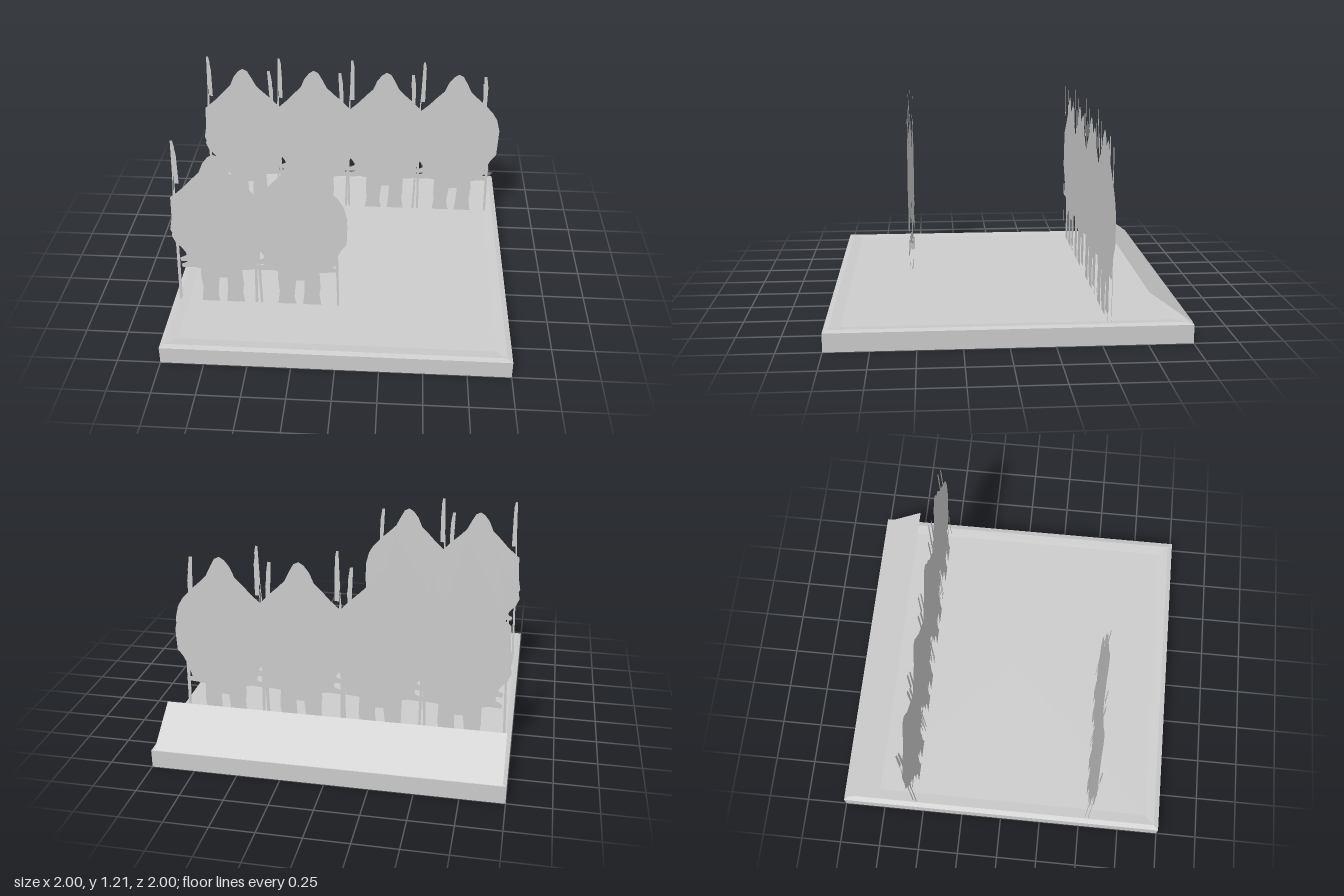
import * as THREE from 'three';

const grey = new THREE.MeshStandardMaterial({ color: 0xcccccc });
grey.name = 'plain grey';
const greySheet = grey.clone(); // same grey for open, paper-thin sheets
greySheet.name = 'plain grey';
greySheet.side = THREE.DoubleSide;

const TOP = 0.108;

function shapeOf(points) {
  return new THREE.Shape(points.map(([x, y]) => new THREE.Vector2(x, y)));
}

function sheet(name, points) {
  const mesh = new THREE.Mesh(new THREE.ShapeGeometry(shapeOf(points)), greySheet);
  mesh.name = name;
  return mesh;
}

// Outline of one standing figure, clockwise from the left shoulder valley
const BODY = [
  [-0.235, 0.86], [-0.18, 0.91], [-0.13, 0.965], [-0.085, 1.01], [-0.06, 1.07], [-0.03, 1.11],
  [0, 1.13], [0.03, 1.115], [0.055, 1.07], [0.085, 1.01], [0.13, 0.965], [0.18, 0.92],
  [0.235, 0.86], [0.265, 0.81], [0.285, 0.73], [0.28, 0.6], [0.25, 0.56], [0.235, 0.53],
  [0.21, 0.47], [0.2, 0.43], [0.235, 0.42], [0.23, 0.4], [0.17, 0.395], [0.12, 0.39],
  [0.125, 0.28], [0.115, 0.22], [0.13, TOP],
  [0.02, TOP], [0.03, 0.2], [0.035, 0.33], [-0.02, 0.33], [-0.03, 0.24], [-0.035, 0.18], [-0.02, TOP],
  [-0.13, TOP], [-0.115, 0.22], [-0.125, 0.28], [-0.12, 0.39], [-0.16, 0.4],
  [-0.235, 0.395], [-0.24, 0.42], [-0.2, 0.44], [-0.205, 0.5], [-0.23, 0.54],
  [-0.26, 0.57], [-0.28, 0.62], [-0.265, 0.7], [-0.26, 0.84],
];
// Long staff, broad at its tip
const STAFF = [
  [-0.268, TOP], [-0.256, TOP], [-0.232, 0.98], [-0.208, 0.98],
  [-0.208, 1.17], [-0.215, 1.21], [-0.228, 1.21], [-0.236, 0.97], [-0.245, 0.85],
];
const SHORT_TIP = [[0.17, 0.9], [0.19, 0.9], [0.19, 1.04], [0.178, 1.12], [0.16, 1.12]];
const REAR_STAFF = [[0.225, TOP], [0.237, TOP], [0.23, 0.56], [0.215, 0.56]];

function figure(x) {
  const group = new THREE.Group();
  group.name = 'figure';
  group.add(
    sheet('figureBody', BODY),
    sheet('longStaff', STAFF),
    sheet('staffTip', SHORT_TIP),
    sheet('lowerStaff', REAR_STAFF),
  );
  group.position.x = x;
  return group;
}

// A row is two parallel sheets, the rear one set a little lower
function row(name, centres, z) {
  const group = new THREE.Group();
  group.name = name;
  for (const [dy, dz] of [[0, 0], [-0.06, -0.02]]) {
    const layer = new THREE.Group();
    layer.name = dy ? 'rearSheet' : 'frontSheet';
    layer.position.set(0, dy, dz);
    for (const x of centres) layer.add(figure(x));
    group.add(layer);
  }
  group.position.z = z;
  return group;
}

// Square tray with a softly raised rim, turned with four sides
function base() {
  const profile = [[0, 0], [1, 0], [1, 0.106], [0.97, 0.114], [0.91, 0.107], [0, 0.107]]
    .map(([r, y]) => new THREE.Vector2(r * Math.SQRT2, y));
  const geometry = new THREE.LatheGeometry(profile, 4, Math.PI / 4).toNonIndexed();
  geometry.computeVertexNormals();
  const mesh = new THREE.Mesh(geometry, grey);
  mesh.name = 'base';
  return mesh;
}

// Sloping flap along the back edge
function backFlap() {
  const rise = 0.18, run = 0.25;
  const geometry = new THREE.PlaneGeometry(1.96, Math.hypot(rise, run));
  geometry.rotateX(Math.PI / 2 - Math.atan2(rise, run));
  geometry.rotateY(Math.PI);
  const p = geometry.attributes.position;
  for (let i = 0; i < p.count; i++) {
    const back = i < 2; // first row of corners sits on the back edge
    p.setXYZ(i, (i % 2 ? 1 : -1) * 0.98, back ? 0.11 : 0.29, back ? -1 : -0.75);
  }
  geometry.computeVertexNormals();
  const mesh = new THREE.Mesh(geometry, greySheet);
  mesh.name = 'backFlap';
  return mesh;
}

// Flat pieces lying on the tray, given as x and z
const LYING_BODY = [
  [0.04, 0.42], [0.08, 0.38], [0.12, 0.37], [0.14, 0.4], [0.2, 0.385], [0.28, 0.39], [0.33, 0.38],
  [0.38, 0.37], [0.41, 0.39], [0.4, 0.43], [0.415, 0.47], [0.4, 0.54], [0.36, 0.58], [0.28, 0.6],
  [0.2, 0.62], [0.13, 0.59], [0.07, 0.55], [0.04, 0.49],
];
const LYING_BLADE = [[0.11, 0.335], [0.28, 0.365], [0.25, 0.372], [0.14, 0.352]];
const LYING_FOOT = [[0.18, 0.73], [0.21, 0.72], [0.245, 0.735], [0.24, 0.755], [0.18, 0.755]];
const LYING_TIP = [[0.288, 0.73], [0.296, 0.73], [0.296, 0.755], [0.29, 0.755]];

function lyingPieces(x) {
  const group = new THREE.Group();
  group.name = 'lyingPieces';
  group.add(
    sheet('lyingBody', LYING_BODY),
    sheet('lyingBlade', LYING_BLADE),
    sheet('lyingFoot', LYING_FOOT),
    sheet('lyingTip', LYING_TIP),
  );
  for (const m of group.children) {
    m.geometry.rotateX(Math.PI / 2);
    // turn the faces upward
    const index = m.geometry.index;
    for (let i = 0; i < index.count; i += 3) {
      const a = index.getX(i);
      index.setX(i, index.getX(i + 1));
      index.setX(i + 1, a);
    }
    m.geometry.computeVertexNormals();
  }
  group.position.set(x, 0.11, 0);
  return group;
}

export function createModel() {
  const model = new THREE.Group();
  model.name = 'diorama';
  model.add(
    base(),
    backFlap(),
    row('backRow', [-0.7, -0.24, 0.23, 0.69], -0.54),
    row('frontRow', [-0.7, -0.24], 0.555),
    lyingPieces(0),
    lyingPieces(0.46),
  );
  return model;
}
